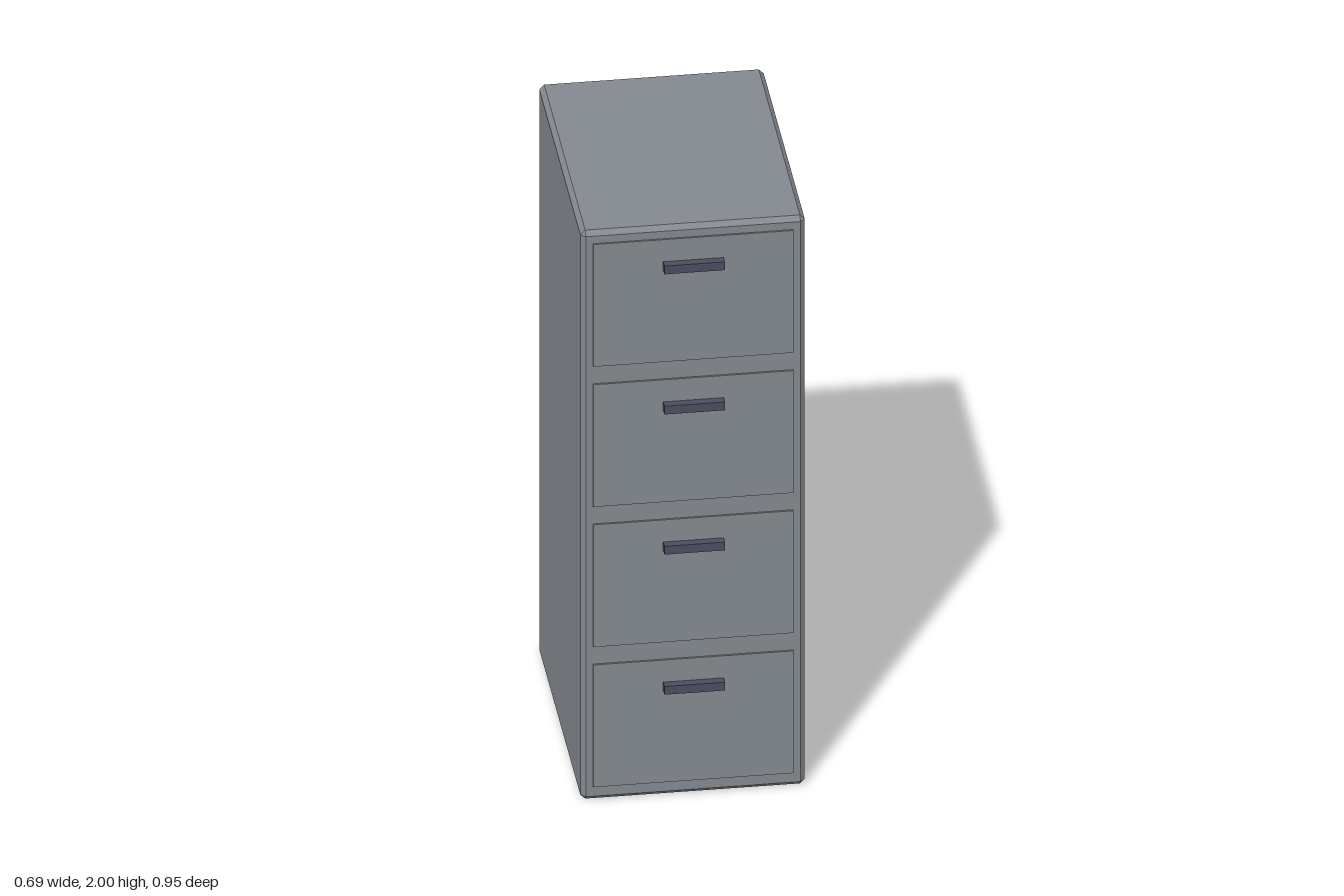
import * as THREE from 'three';
import { ConvexGeometry } from 'three/addons/geometries/ConvexGeometry.js';

// Box with a flat 45 degree chamfer on every edge
function chamferedBox(w, h, d, c) {
  const points = [];
  for (const sx of [-1, 1]) for (const sy of [-1, 1]) for (const sz of [-1, 1]) {
    const x = w / 2, y = h / 2, z = d / 2;
    points.push(
      new THREE.Vector3(sx * x, sy * (y - c), sz * (z - c)),
      new THREE.Vector3(sx * (x - c), sy * y, sz * (z - c)),
      new THREE.Vector3(sx * (x - c), sy * (y - c), sz * z)
    );
  }
  return new ConvexGeometry(points);
}

export function createModel() {
  const group = new THREE.Group();
  group.name = 'filingCabinet';

  const steel = new THREE.MeshStandardMaterial({ color: 0x848990 });
  steel.name = 'greySteel';
  const dark = new THREE.MeshStandardMaterial({ color: 0x4a4d5e });
  dark.name = 'darkHandle';

  const add = (name, geometry, material, x, y, z) => {
    const mesh = new THREE.Mesh(geometry, material);
    mesh.name = name;
    mesh.position.set(x, y, z);
    group.add(mesh);
  };

  // Cabinet body
  add('body', chamferedBox(0.69, 2, 0.922, 0.015), steel, 0, 1, -0.017);

  // Four drawer fronts, each with a bar handle above its middle
  const drawerGeometry = new THREE.BoxGeometry(0.616, 0.43, 0.02);
  const handleGeometry = new THREE.BoxGeometry(0.186, 0.029, 0.028);
  for (let i = 0; i < 4; i++) {
    const y = 0.265 + i * 0.493;
    add(`drawerFront${i + 1}`, drawerGeometry, steel, 0, y, 0.44);
    add(`handle${i + 1}`, handleGeometry, dark, 0, y + 0.123, 0.463);
  }
  return group;
}
